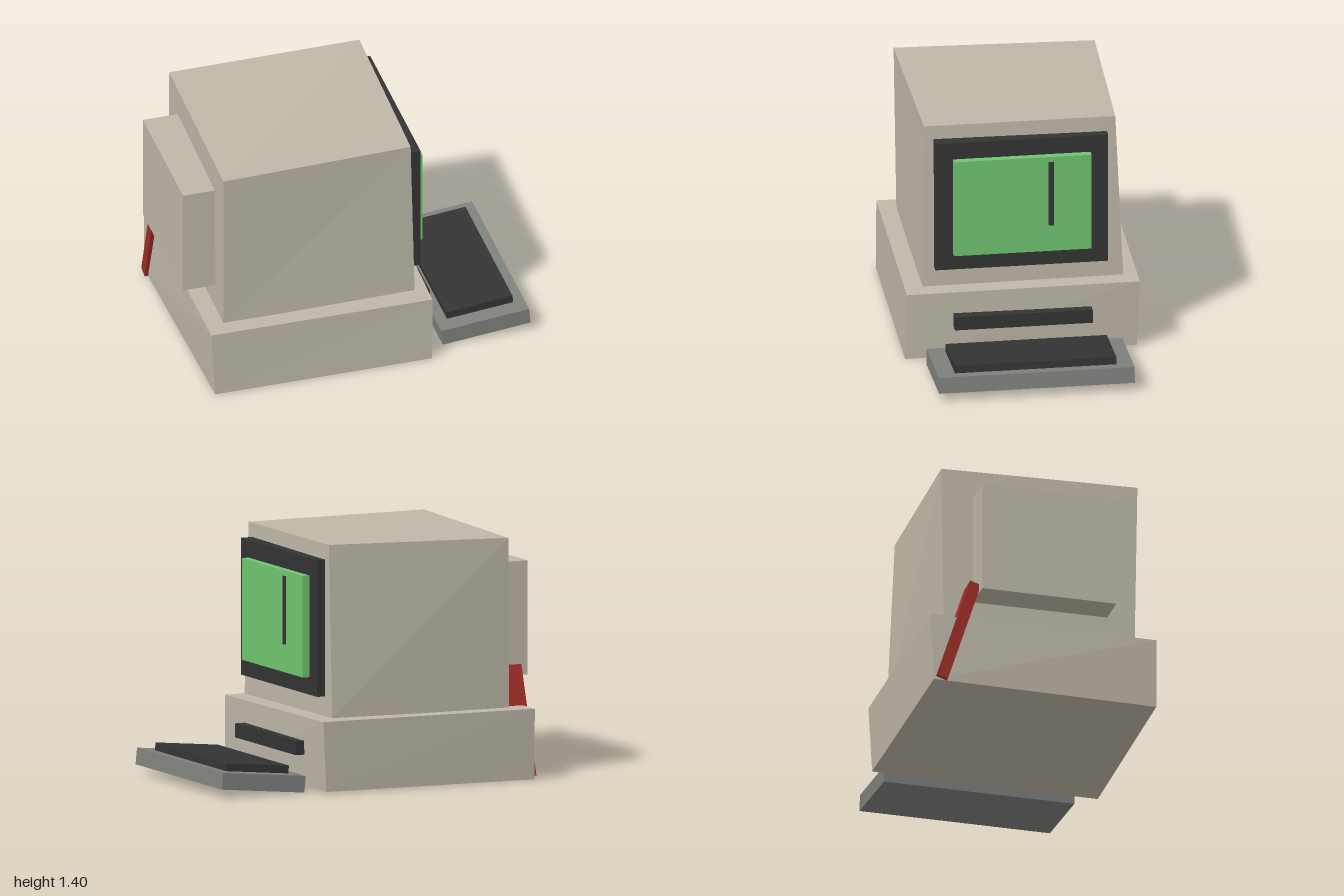
import * as THREE from 'three';

const material = (name, color) => Object.assign(new THREE.MeshStandardMaterial({ color }), { name });

// Box given by its min and max corners
function box(name, mat, min, max) {
  const size = max.map((v, i) => v - min[i]);
  const mesh = new THREE.Mesh(new THREE.BoxGeometry(...size), mat);
  mesh.position.set(...max.map((v, i) => (v + min[i]) / 2));
  mesh.name = name;
  return mesh;
}

// Irregular box: corners keyed by the signs of x, y, z
function skewedBox(name, mat, corners) {
  const geo = new THREE.BoxGeometry(2, 2, 2).toNonIndexed();
  const p = geo.attributes.position;
  const sign = (v) => (v > 0 ? '+' : '-');
  for (let i = 0; i < p.count; i++) {
    p.setXYZ(i, ...corners[sign(p.getX(i)) + sign(p.getY(i)) + sign(p.getZ(i))]);
  }
  geo.computeVertexNormals();
  const mesh = new THREE.Mesh(geo, mat);
  mesh.name = name;
  return mesh;
}

export function createModel() {
  const model = new THREE.Group();
  model.name = 'desktopComputer';

  const beige = material('beige casing', 0xbfb8a9);
  const dark = material('dark plastic', 0x343434);
  const gray = material('gray plastic', 0x7f817d);
  const green = material('green screen', 0x70c570);
  const red = material('red lever', 0x9e2c26);

  // Slightly crooked base unit and monitor
  model.add(skewedBox('baseUnit', beige, {
    '+++': [0.39, 0.395, 0.66], '+-+': [0.385, 0, 0.67],
    '++-': [0.415, 0.412, -0.665], '+--': [0.39, 0.01, -0.65],
    '-++': [-0.912, 0.405, 0.655], '--+': [-0.89, 0, 0.66],
    '-+-': [-0.91, 0.405, -0.668], '---': [-0.915, 0, -0.65],
  }));
  model.add(skewedBox('monitorCase', beige, {
    '+++': [0.295, 1.39, 0.55], '+-+': [0.315, 0.41, 0.56],
    '++-': [0.32, 1.4, -0.537], '+--': [0.32, 0.418, -0.582],
    '-++': [-0.815, 1.387, 0.57], '--+': [-0.81, 0.4, 0.555],
    '-+-': [-0.79, 1.375, -0.572], '---': [-0.8, 0.4, -0.56],
  }));

  // Monitor details
  model.add(
    box('monitorRearHousing', beige, [-1, 0.56, -0.39], [-0.75, 1.21, 0.395]),
    box('screenBezel', dark, [0.25, 0.53, -0.49], [0.37, 1.31, 0.495]),
    box('screen', green, [0.34, 0.63, -0.39], [0.412, 1.21, 0.395]),
    box('screenCursor', dark, [0.4, 0.79, -0.175], [0.42, 1.18, -0.145]),
    box('driveSlot', dark, [0.35, 0.19, -0.39], [0.455, 0.27, 0.395]),
  );

  // Leaning lever at the rear corner
  const lever = box('lever', red, [-0.935, -0.32, -0.033], [-0.81, 0.32, 0.033]);
  lever.position.y = 0.315;
  lever.position.z = -0.508;
  lever.rotation.x = 0.31;
  model.add(lever);

  // Tilted keyboard
  const keyboard = new THREE.Group();
  keyboard.name = 'keyboard';
  keyboard.add(
    box('keyboardBody', gray, [-0.26, -0.0475, -0.555], [0.26, 0.0475, 0.56]),
    box('keyPad', dark, [-0.196, 0.02, -0.46], [0.196, 0.092, 0.46]),
  );
  keyboard.position.set(0.736, 0.072, 0);
  keyboard.rotation.z = 0.095;
  model.add(keyboard);

  return model;
}
